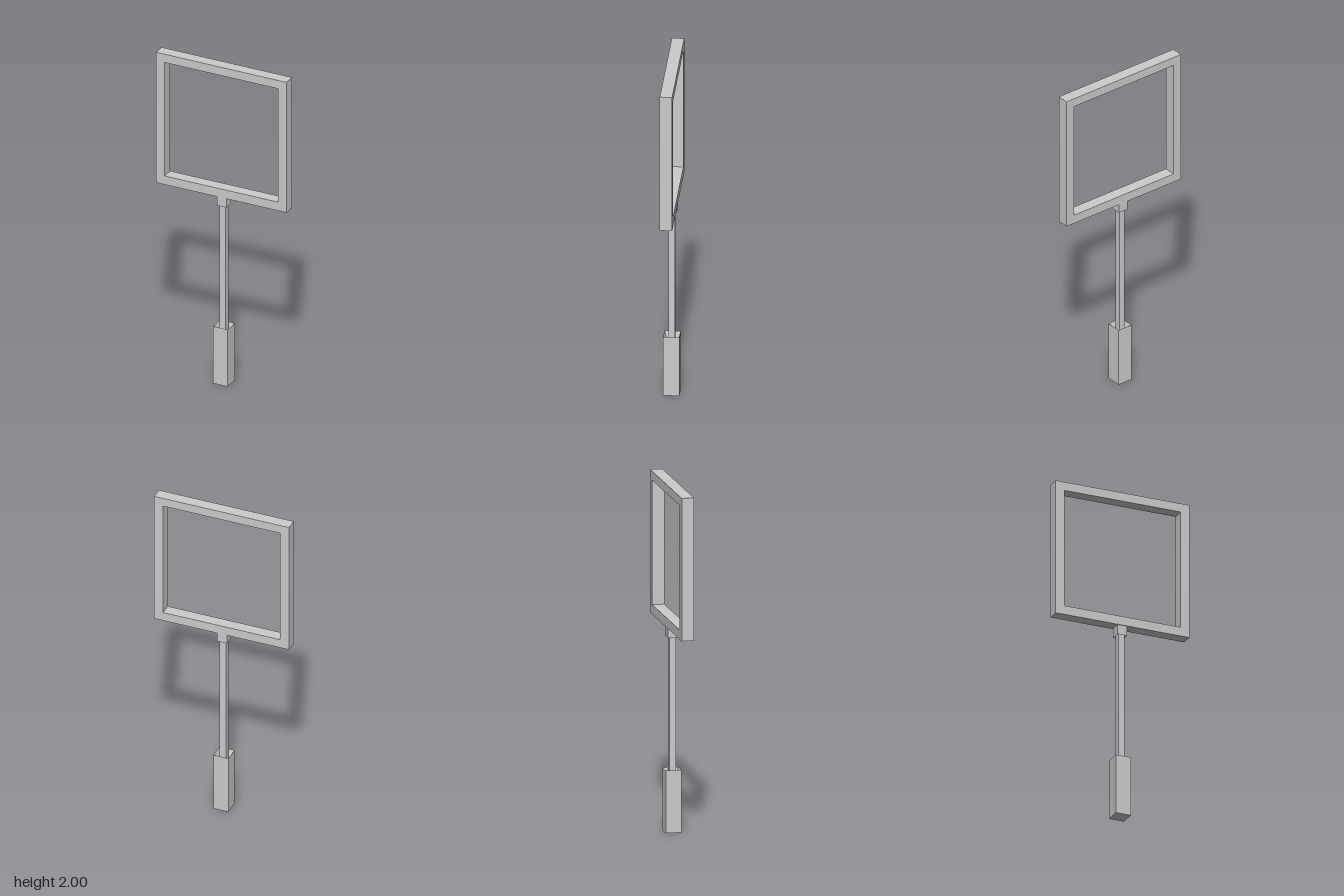
import * as THREE from 'three';

const material = new THREE.MeshStandardMaterial({ color: 0xcccccc, flatShading: true });

// Square-section turned part: profile is [half width, y] from bottom to top
function squarePart(name, profile) {
  const points = profile.map(([h, y]) => new THREE.Vector2(h * Math.SQRT2, y));
  const mesh = new THREE.Mesh(new THREE.LatheGeometry(points, 4, Math.PI / 4), material);
  mesh.name = name;
  return mesh;
}

// Rectangle outline centred on x = 0
function rectangle(Type, half, bottom, top) {
  return new Type([[-half, bottom], [half, bottom], [half, top], [-half, top]]
    .map(([x, y]) => new THREE.Vector2(x, y)));
}

export function createModel() {
  const group = new THREE.Group();
  group.name = 'squareFrameOnHandle';

  // Handle, with its top sloping inward and down to the stem
  group.add(squarePart('handle', [[0, 0], [0.046, 0], [0.046, 0.36], [0.019, 0.27]]));

  // Thin stem
  group.add(squarePart('stem', [[0.019, 0.27], [0.019, 1.16]]));

  // Collar under the frame, hollowed toward the stem
  group.add(squarePart('collar', [[0.019, 1.16], [0.03, 1.12], [0.03, 1.18]]));

  // Open square frame
  const shape = rectangle(THREE.Shape, 0.412, 1.178, 2);
  shape.holes.push(rectangle(THREE.Path, 0.358, 1.232, 1.948));
  const geometry = new THREE.ExtrudeGeometry(shape, { depth: 0.07, bevelEnabled: false });
  geometry.translate(0, 0, -0.035);
  const frame = new THREE.Mesh(geometry, material);
  frame.name = 'frame';
  group.add(frame);

  return group;
}
